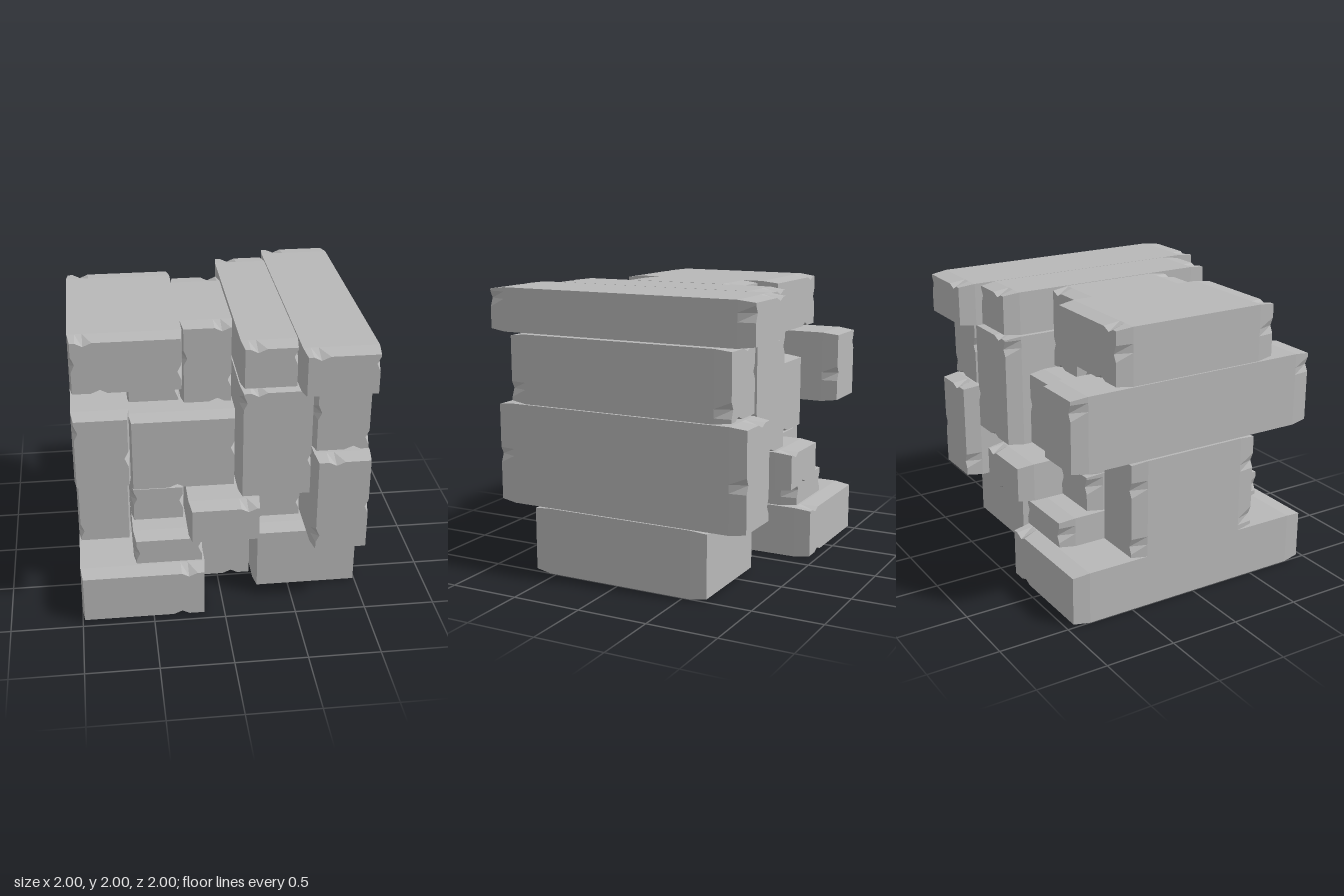
import * as THREE from 'three';

const stone = new THREE.MeshStandardMaterial({ color: 0xb8b8b8, flatShading: true });
stone.name = 'grey stone';

const INSET = 0.015, TAPER = 0.12;
const B = 0, R = 1, T = 2, L = 3; // sides: bottom, right, top, left

// x0, x1, y0, y1, half depth, chips as [side, position along that side]
const blocks = [
  [-1, -0.245, 1.605, 2, 0.62, [[L, 1.83], [B, -0.8], [R, 1.75], [T, -0.9]]],
  [-0.245, 0.11, 1.425, 2, 0.47, [[T, 0.03], [L, 1.77], [B, 0], [R, 1.6]]],
  [0.12, 0.495, 1.695, 2, 0.84, [[T, 0.22], [R, 1.92]]],
  [0.5, 1, 1.695, 2, 1, [[T, 0.6], [R, 1.92]]],
  [0.115, 0.61, 0.875, 1.685, 0.84, [[L, 1.6], [R, 1.15], [B, 0.35], [T, 0.23]]],
  [0.615, 1, 1.2, 1.685, 0.84, [[L, 1.5], [B, 0.88], [T, 0.75], [R, 1.3]]],
  [-0.62, 0.11, 0.875, 1.42, 0.67, [[R, 1.18], [B, -0.3]]],
  [-0.62, -0.25, 1.425, 1.6, 0.42, [[T, -0.34], [R, 1.51]]],
  [-1, -0.625, 1.08, 1.6, 0.95, [[L, 1.5], [R, 1.3]]],
  [-1, -0.625, 0.37, 1.07, 0.5, [[L, 0.87], [L, 0.46]]],
  [-0.62, -0.245, 0.595, 0.87, 0.62, [[R, 0.75], [L, 0.78]]],
  [-0.62, -0.135, 0.375, 0.585, 0.84, [[L, 0.47], [R, 0.5]]],
  [-0.24, 0.25, 0.595, 0.87, 0.95, [[B, 0.02], [T, 0.16]]],
  [0.255, 0.61, 0.485, 0.87, 0.5, [[L, 0.76], [R, 0.6]]],
  [0.615, 1, 0.48, 1.195, 0.95, [[L, 0.6], [R, 0.82], [T, 0.75]]],
  [-0.13, 0.25, 0, 0.585, 0.5, [[L, 0.45], [R, 0.35], [T, 0], [B, 0.1]]],
  [-1, -0.13, 0, 0.37, 0.95, [[B, -0.3], [T, -0.25]]],
  [0.255, 1, 0, 0.475, 0.67, []],
];

// Outline of a block, anticlockwise, with chips cut inwards by the given depth
function outline([x0, x1, y0, y1, , chips], inset, depth) {
  const a = x0 + inset, b = x1 - inset, c = y0 + inset, d = y1 - inset;
  const corners = [[a, c], [b, c], [b, d], [a, d]];
  const inward = [[0, 1], [-1, 0], [0, -1], [1, 0]];
  const points = [];
  for (let side = 0; side < 4; side++) {
    const axis = side % 2, sign = side < 2 ? 1 : -1;
    points.push(new THREE.Vector2(...corners[side]));
    const cuts = chips.filter(k => k[0] === side).sort((p, q) => sign * (p[1] - q[1]));
    for (const [, at] of cuts) {
      [-0.06, 0, 0.05].forEach((offset, i) => {
        const p = [...corners[side]];
        p[axis] = at + sign * offset;
        const cut = i === 1 ? depth : 0;
        points.push(new THREE.Vector2(p[0] + inward[side][0] * cut, p[1] + inward[side][1] * cut));
      });
    }
  }
  return points;
}

// Block lofted through four outlines, tapering to chipped ends
function blockGeometry(block) {
  const h = block[4];
  const end = outline(block, INSET, 0.025), middle = outline(block, 0, 0);
  const rings = [[end, h], [middle, h - TAPER], [middle, TAPER - h], [end, -h]]
    .map(([pts, z]) => pts.map(p => [p.x, p.y, z]));
  const positions = [];
  const tri = (...points) => points.forEach(p => positions.push(...p));
  for (let r = 0; r < 3; r++) {
    const front = rings[r], back = rings[r + 1];
    front.forEach((p, i) => {
      const j = (i + 1) % front.length;
      tri(p, back[i], back[j]);
      tri(p, back[j], front[j]);
    });
  }
  for (const [i, j, k] of THREE.ShapeUtils.triangulateShape(end, [])) {
    tri(rings[0][i], rings[0][j], rings[0][k]);
    tri(rings[3][k], rings[3][j], rings[3][i]);
  }
  const geometry = new THREE.BufferGeometry();
  geometry.setAttribute('position', new THREE.Float32BufferAttribute(positions, 3));
  geometry.computeVertexNormals();
  return geometry;
}

export function createModel() {
  const group = new THREE.Group();
  group.name = 'stoneBlockCube';
  blocks.forEach((block, i) => {
    const mesh = new THREE.Mesh(blockGeometry(block), stone);
    mesh.name = `stoneBlock${i + 1}`;
    group.add(mesh);
  });
  return group;
}
